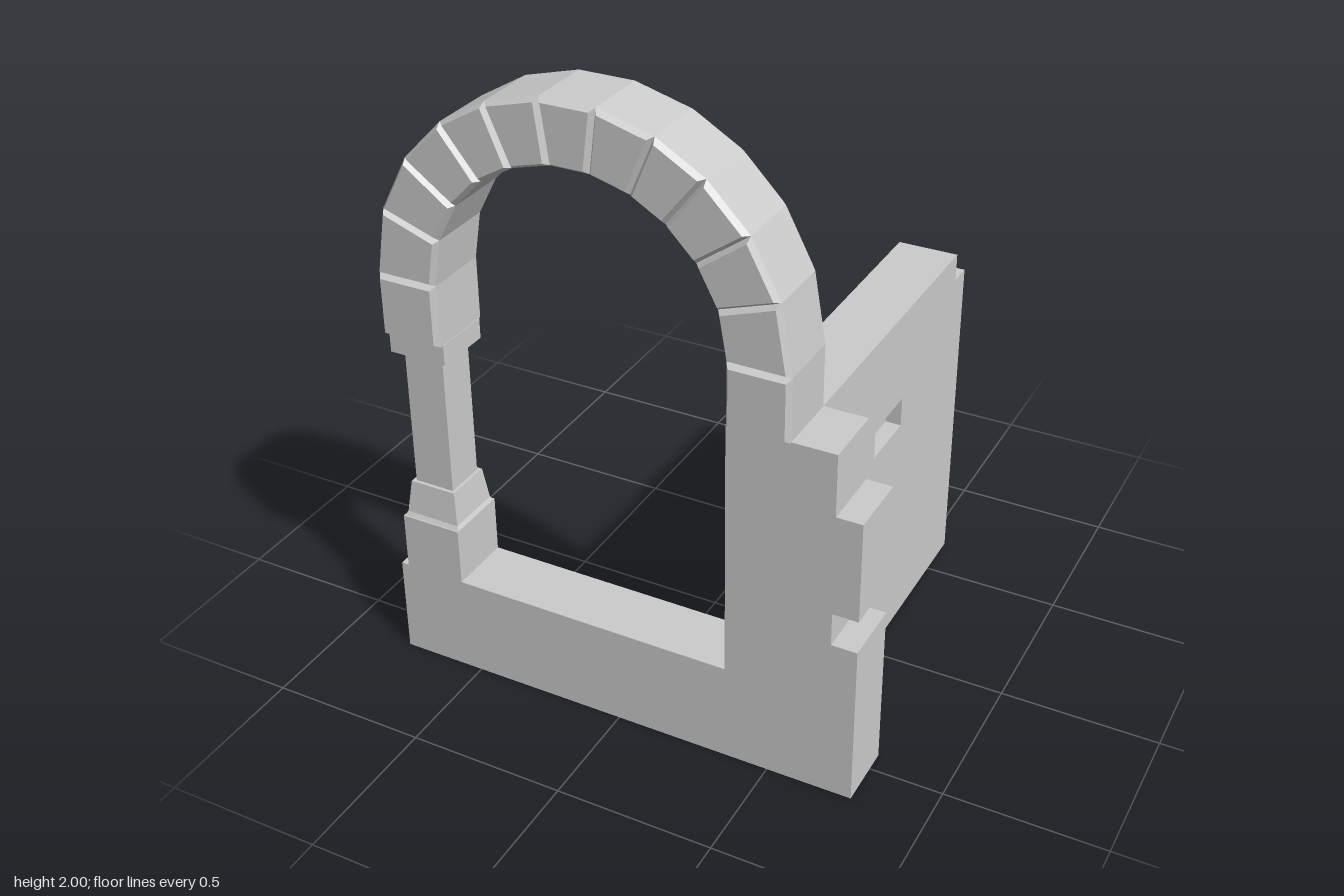
import * as THREE from 'three';

const material = new THREE.MeshStandardMaterial({ color: 0xcccccc, flatShading: true });
const Z_BACK = 0.435, Z_FRONT = 0.64, Z_MID = (Z_BACK + Z_FRONT) / 2;
const COLUMN_X = -0.648;

function add(parent, name, geometry) {
  const mesh = new THREE.Mesh(geometry, material);
  mesh.name = name;
  parent.add(mesh);
  return mesh;
}

const outline = (points) => new THREE.Shape(points.map(([x, y]) => new THREE.Vector2(x, y)));

const slab = (shape, depth) => new THREE.ExtrudeGeometry(shape, { depth, bevelEnabled: false });

// Square column section between two heights, tapering between two half widths
function squareSection(parent, name, y0, y1, half0, half1) {
  const g = new THREE.CylinderGeometry(half1 * Math.SQRT2, half0 * Math.SQRT2, y1 - y0, 4);
  g.rotateY(Math.PI / 4);
  g.translate(COLUMN_X, (y0 + y1) / 2, Z_MID);
  add(parent, name, g);
}

// Arch stone: four corners, chamfered around its front and back faces
function archStone(parent, name, corners) {
  const chamfer = 0.018, inset = 0.012, zMin = 0.418, zMax = 0.657;
  const g = new THREE.ExtrudeGeometry(outline(corners), {
    depth: zMax - zMin - 2 * chamfer,
    bevelThickness: chamfer, bevelSize: inset, bevelOffset: -inset, bevelSegments: 1,
  });
  g.translate(0, 0, zMin + chamfer);
  add(parent, name, g);
}

export function createModel() {
  const model = new THREE.Group();
  model.name = 'archedWall';

  // Low front wall with pedestal on one end and toothed pier on the other
  const front = slab(outline([
    [-0.773, 0], [0.77, 0], [0.77, 0.533], [0.69, 0.533], [0.69, 0.64], [0.77, 0.64],
    [0.77, 0.963], [0.69, 0.963], [0.69, 1.16], [0.36, 1.16], [0.36, 0.323],
    [-0.55, 0.323], [-0.55, 0.51], [-0.748, 0.51], [-0.748, 0.323], [-0.773, 0.323],
  ]), Z_FRONT - Z_BACK);
  front.translate(0, 0, Z_BACK);
  add(model, 'frontWall', front);

  // Side wall, drawn along -z; its outer layer has a slot cut through it
  const sideWall = new THREE.Group();
  sideWall.name = 'sideWall';
  model.add(sideWall);
  const x0 = 0.36, x1 = 0.555, slotDepth = 0.05;
  const profile = () => outline([
    [-Z_BACK, 0], [0.66, 0], [0.66, 1.07], [0.58, 1.07], [0.58, 1.16], [-Z_BACK, 1.16],
  ]);
  const inner = slab(profile(), x1 - x0 - slotDepth);
  inner.rotateY(Math.PI / 2).translate(x0, 0, 0);
  add(sideWall, 'innerLayer', inner);
  const slotted = profile();
  slotted.holes.push(outline([[-0.042, 0.762], [-0.042, 0.858], [0.165, 0.858], [0.165, 0.762]]));
  const outer = slab(slotted, slotDepth);
  outer.rotateY(Math.PI / 2).translate(x1 - slotDepth, 0, 0);
  add(sideWall, 'slottedLayer', outer);

  // Square column
  const column = new THREE.Group();
  column.name = 'column';
  model.add(column);
  squareSection(column, 'baseChamfer', 0.51, 0.523, 0.098, 0.09);
  squareSection(column, 'taperedBase', 0.523, 0.63, 0.09, 0.077);
  squareSection(column, 'shaft', 0.63, 1.09, 0.066, 0.066);
  squareSection(column, 'capital', 1.09, 1.157, 0.094, 0.094);

  // Arch: a straight stone on each side and a ring of wedges between
  const arch = new THREE.Group();
  arch.name = 'arch';
  model.add(arch);
  const cx = -0.097, springY = 1.355, rOut = 0.652, rIn = 0.459;
  const half = [0, 19, 36, 52, 67, 82.5];
  const angles = [...half, ...half.map((a) => 180 - a).reverse()];
  const at = (r, deg) => {
    const a = THREE.MathUtils.degToRad(deg);
    return [cx + r * Math.cos(a), springY + r * Math.sin(a)];
  };
  for (let i = 0; i < angles.length - 1; i++) {
    const a = angles[i], b = angles[i + 1];
    archStone(arch, i === 5 ? 'keystone' : 'wedgeStone', [at(rIn, a), at(rOut, a), at(rOut, b), at(rIn, b)]);
  }
  for (const [l, r] of [[cx - rOut, cx - rIn], [cx + rIn, cx + rOut]]) {
    archStone(arch, 'springerStone', [[l, 1.155], [r, 1.155], [r, springY], [l, springY]]);
  }
  return model;
}
